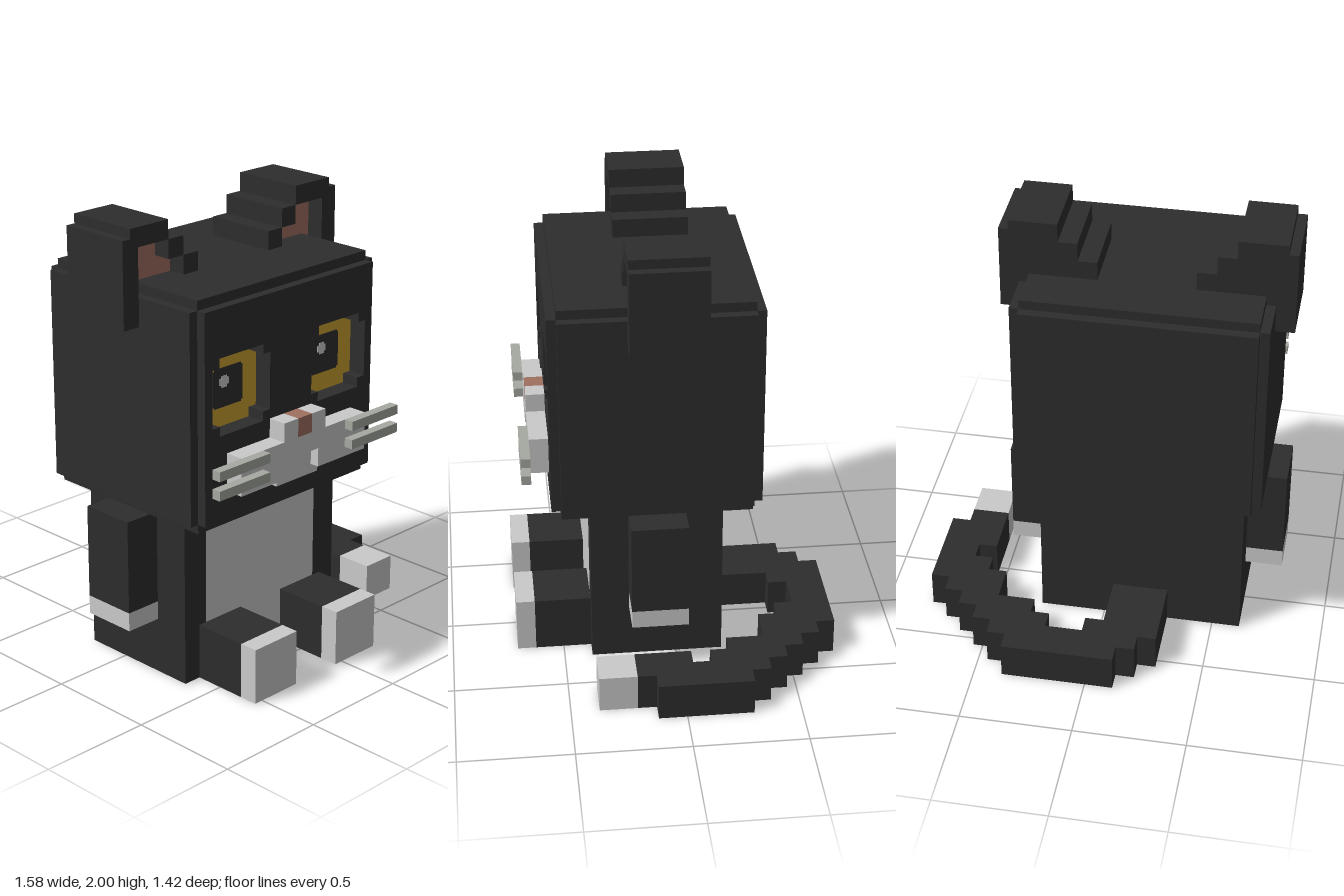
import * as THREE from 'three';

const U = 1 / 24; // one block

const mat = (name, color) => {
  const m = new THREE.MeshStandardMaterial({ color });
  m.name = name;
  return m;
};

export function createModel() {
  const black = mat('black fur', 0x2d2d2d);
  const white = mat('white fur', 0xcacaca);
  const yellow = mat('yellow eye', 0xc9a02d);
  const pink = mat('pink skin', 0xa07060);
  const grey = mat('grey whisker', 0xa6a9a2);

  const model = new THREE.Group();
  model.name = 'cat';

  const part = (name, geometry, material) => {
    const mesh = new THREE.Mesh(geometry, material);
    mesh.name = name;
    model.add(mesh);
    return mesh;
  };
  // Box given by its limits in blocks
  const box = (name, material, x0, x1, y0, y1, z0, z1) =>
    part(name, new THREE.BoxGeometry(x1 - x0, y1 - y0, z1 - z0)
      .translate((x0 + x1) / 2, (y0 + y1) / 2, (z0 + z1) / 2), material);
  // Flat outline extruded from z0 to z1
  const slab = (outline, z0, z1, holes = []) => {
    const pts = (a) => a.map(([x, y]) => new THREE.Vector2(x, y));
    const shape = new THREE.Shape(pts(outline));
    shape.holes = holes.map((h) => new THREE.Path(pts(h)));
    return new THREE.ExtrudeGeometry(shape, { depth: z1 - z0, bevelEnabled: false }).translate(0, 0, z0);
  };
  // Rectangle with a small square notch at each corner
  const notched = (x0, x1, y0, y1, n = 1) => [
    [x0 + n, y0], [x1 - n, y0], [x1 - n, y0 + n], [x1, y0 + n], [x1, y1 - n], [x1 - n, y1 - n],
    [x1 - n, y1], [x0 + n, y1], [x0 + n, y1 - n], [x0, y1 - n], [x0, y0 + n], [x0 + n, y0 + n],
  ];
  // Limits mirrored across the cat's own middle, x = -4
  const sides = [['right', (a, b) => [a, b]], ['left', (a, b) => [-8 - b, -8 - a]]];

  // Head: stepped block with eye sockets cut into the front layers
  const headOutline = notched(-17, 9, 18, 42);
  const sockets = [-15, -1].map((x) => notched(x, x + 8, 28, 36));
  part('head', slab(headOutline, -8, 11), black);
  part('headFront', slab(headOutline, 11, 12, sockets), black);
  part('face', slab([[-16, 19], [8, 19], [8, 41], [-16, 41]], 12, 13, sockets), black);
  box('headBack', black, -16, 8, 19, 41, -9, -8);

  // Eyes: thin plates at the bottom of the sockets
  [['right', -15], ['left', -1]].forEach(([side, x]) => {
    part(side + 'Eye', slab(notched(x, x + 8, 28, 36), 11, 11.05), yellow);
    part(side + 'Pupil', slab(notched(x + 1.95, x + 6.05, 29.95, 34.05, 0.2), 11.05, 11.1), black);
    part(side + 'EyeGlint', slab(notched(x + 2.9, x + 4.1, 32, 33.2, 0.25), 11.1, 11.15), white);
  });

  // Ears: solid stepped back, open frame in front, pink lining
  const earOutline = [[-19, 38], [-17, 38], [-17, 41], [-16, 41], [-16, 42], [-9, 42], [-9, 44],
    [-11, 44], [-11, 46], [-13, 46], [-13, 48], [-18, 48], [-18, 47], [-19, 47]];
  const earLining = [[-17, 41], [-16, 41], [-16, 42], [-11, 42], [-11, 44], [-13, 44], [-13, 46], [-17, 46]];
  for (const [side, m] of sides) {
    const flip = (pts) => (side === 'left' ? pts.map(([x, y]) => [-8 - x, y]) : pts);
    part(side + 'Ear', slab(flip(earOutline), -3, 3), black);
    part(side + 'EarLining', slab(flip(earLining), 3, 3.1), pink);
    box(side + 'EarOuterEdge', black, ...m(-19, -17), 38, 47, 3, 5);
    box(side + 'EarTip', black, ...m(-18, -13), 46, 48, 3, 5);
    box(side + 'EarUpperStep', black, ...m(-13, -11), 44, 46, 3, 5);
    box(side + 'EarLowerStep', black, ...m(-11, -9), 42, 44, 3, 5);
  }

  // Muzzle with mouth notch, chin and nose
  part('muzzle', slab([[-13, 22], [-6, 22], [-6, 24], [-2, 24], [-2, 22], [5, 22], [5, 26], [-1, 26],
    [-1, 28], [-3, 28], [-3, 26], [-5, 26], [-5, 28], [-7, 28], [-7, 26], [-13, 26]], 13, 15), white);
  part('chin', slab([[-7, 21], [-1, 21], [-1, 22], [-2, 22], [-2, 24], [-6, 24], [-6, 22], [-7, 22]], 13, 14), white);
  box('nose', pink, -5, -3, 26, 28, 13, 15);

  // Body with white belly
  box('body', black, -15, 7, 0, 18, -5, 8);
  box('belly', white, -12, 4, 0, 18, 8, 9);

  for (const [side, m] of sides) {
    box(side + 'Chest', black, ...m(-15, -12), 0, 18, 8, 9);
    // Whiskers
    box(side + 'UpperWhisker', grey, ...m(-17, -10), 25, 26, 15, 16);
    box(side + 'LowerWhisker', grey, ...m(-17, -10), 23, 24, 15, 16);
    // Arms and feet
    box(side + 'Arm', black, ...m(-19, -15), 8, 18, -1, 5);
    box(side + 'Paw', white, ...m(-19, -15), 6, 8, -1, 5);
    box(side + 'Foot', black, ...m(-13, -7), 0, 6, 9, 15);
    box(side + 'Toes', white, ...m(-13, -7), 0, 6, 15, 17);
  }

  // Tail: stepped curl lying on the ground, outline in x and z
  const tail = [[-7, -5], [-7, -13], [-5, -13], [-5, -15], [-3, -15], [-3, -17], [9, -17], [9, -15],
    [11, -15], [11, -13], [13, -13], [13, -11], [15, -11], [15, -9], [17, -9], [17, -7], [19, -7],
    [19, 3], [17, 3], [17, 5], [13, 5], [13, -1], [15, -1], [15, -3], [13, -3], [13, -5], [11, -5],
    [11, -9], [7, -9], [7, -11], [5, -11], [5, -13], [1, -13], [1, -11], [-1, -11], [-1, -5]];
  part('tail', slab(tail, 0, 4).rotateX(Math.PI / 2).translate(0, 4, 0), black);
  box('tailTip', white, 13, 17, 0, 4, 5, 9);

  model.scale.setScalar(U);
  return model;
}
